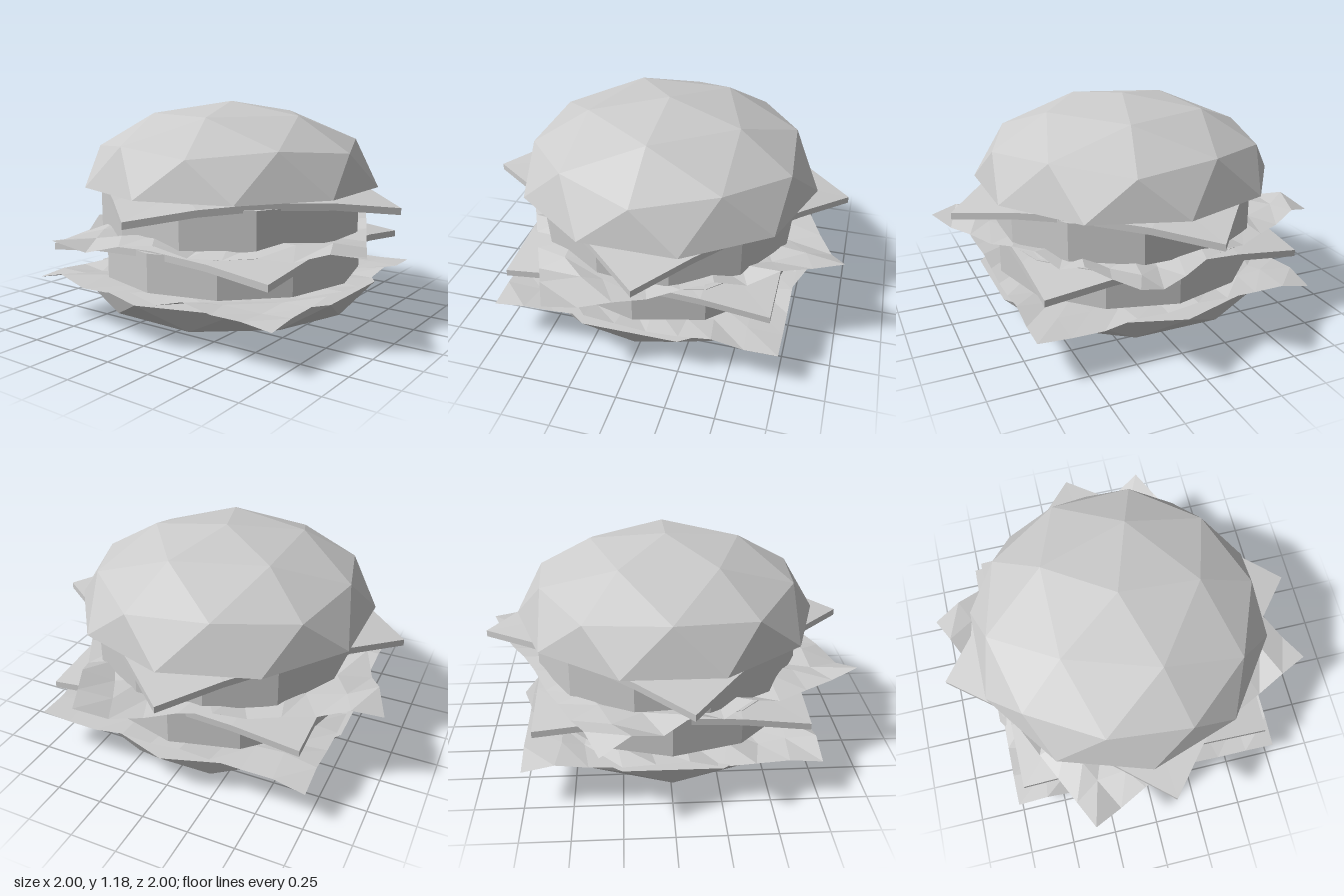
import * as THREE from 'three';

const mat = new THREE.MeshStandardMaterial({ color: 0xcccccc, flatShading: true });
const leafMat = new THREE.MeshStandardMaterial({ color: 0xcccccc, flatShading: true, side: THREE.DoubleSide });

// Small seeded random generator, 0..1
function seeded(seed) {
  let s = seed;
  return () => (s = (s * 16807) % 2147483647) / 2147483647;
}

export function createModel() {
  const model = new THREE.Group();

  function add(name, geometry, y, turn = 0, material = mat) {
    const mesh = new THREE.Mesh(geometry, material);
    mesh.name = name;
    mesh.position.y = y;
    mesh.rotation.y = turn;
    model.add(mesh);
    return mesh;
  }

  // Half of a faceted icosphere (sign picks upper or lower), closed by a flat ten-sided cap
  function bun(name, sign, radius, height, y, lowest) {
    const sphere = new THREE.IcosahedronGeometry(1, 1);
    sphere.rotateZ(-Math.atan(2 / (1 + Math.sqrt(5))));
    const p = sphere.attributes.position;
    const points = [];
    for (let i = 0; i < p.count; i += 3) {
      if ((p.getY(i) + p.getY(i + 1) + p.getY(i + 2)) * sign < 0) continue;
      for (let j = i; j < i + 3; j++) {
        points.push(p.getX(j) * radius, Math.max(p.getY(j) * height, lowest), p.getZ(j) * radius);
      }
    }
    const dome = new THREE.BufferGeometry();
    dome.setAttribute('position', new THREE.Float32BufferAttribute(points, 3));
    dome.computeVertexNormals();
    add(name, dome, y);
    const cap = new THREE.CircleGeometry(radius, 10, Math.PI / 10);
    cap.rotateX(sign * Math.PI / 2);
    add(name + 'Cap', cap, y);
  }

  // Twelve-sided patty
  function patty(name, bottom, top, turn) {
    add(name, new THREE.CylinderGeometry(0.715, 0.715, top - bottom, 12), (bottom + top) / 2, turn);
  }

  // Thin square slice whose corners droop
  function cheese(name, y, turn) {
    const g = new THREE.BoxGeometry(1.38, 0.035, 1.38, 4, 1, 4);
    const p = g.attributes.position;
    for (let i = 0; i < p.count; i++) {
      const r = Math.hypot(p.getX(i), p.getZ(i));
      p.setY(i, p.getY(i) - Math.max(0, r - 0.6) * 0.19);
    }
    g.computeVertexNormals();
    add(name, g, y, turn);
  }

  // Crumpled square leaf, wavier towards its rim
  function lettuce(name, y, turn, amount, seed) {
    const random = seeded(seed);
    const g = new THREE.PlaneGeometry(1.5, 1.5, 9, 9);
    g.rotateX(-Math.PI / 2);
    const p = g.attributes.position;
    for (let i = 0; i < p.count; i++) {
      const x = p.getX(i), z = p.getZ(i);
      const rim = Math.max(Math.abs(x), Math.abs(z));
      p.setY(i, (random() - 0.45) * amount * (0.3 + rim));
      if (rim < 0.74) {
        p.setX(i, x + (random() - 0.5) * 0.07);
        p.setZ(i, z + (random() - 0.5) * 0.07);
      }
    }
    g.computeVertexNormals();
    add(name, g, y, turn, leafMat);
  }

  bun('bottomBun', -1, 0.81, 0.257, 0.225, -0.225);
  lettuce('lowerLettuce', 0.245, 0, 0.055, 4711);
  patty('lowerPatty', 0.265, 0.465, 0);
  cheese('lowerCheese', 0.472, 0);
  lettuce('upperLettuce', 0.51, 0.449, 0.08, 9173);
  patty('upperPatty', 0.5, 0.7, Math.PI / 12);
  cheese('upperCheese', 0.728, 0.873);
  bun('topBun', 1, 0.81, 0.44, 0.74, 0);

  return model;
}
